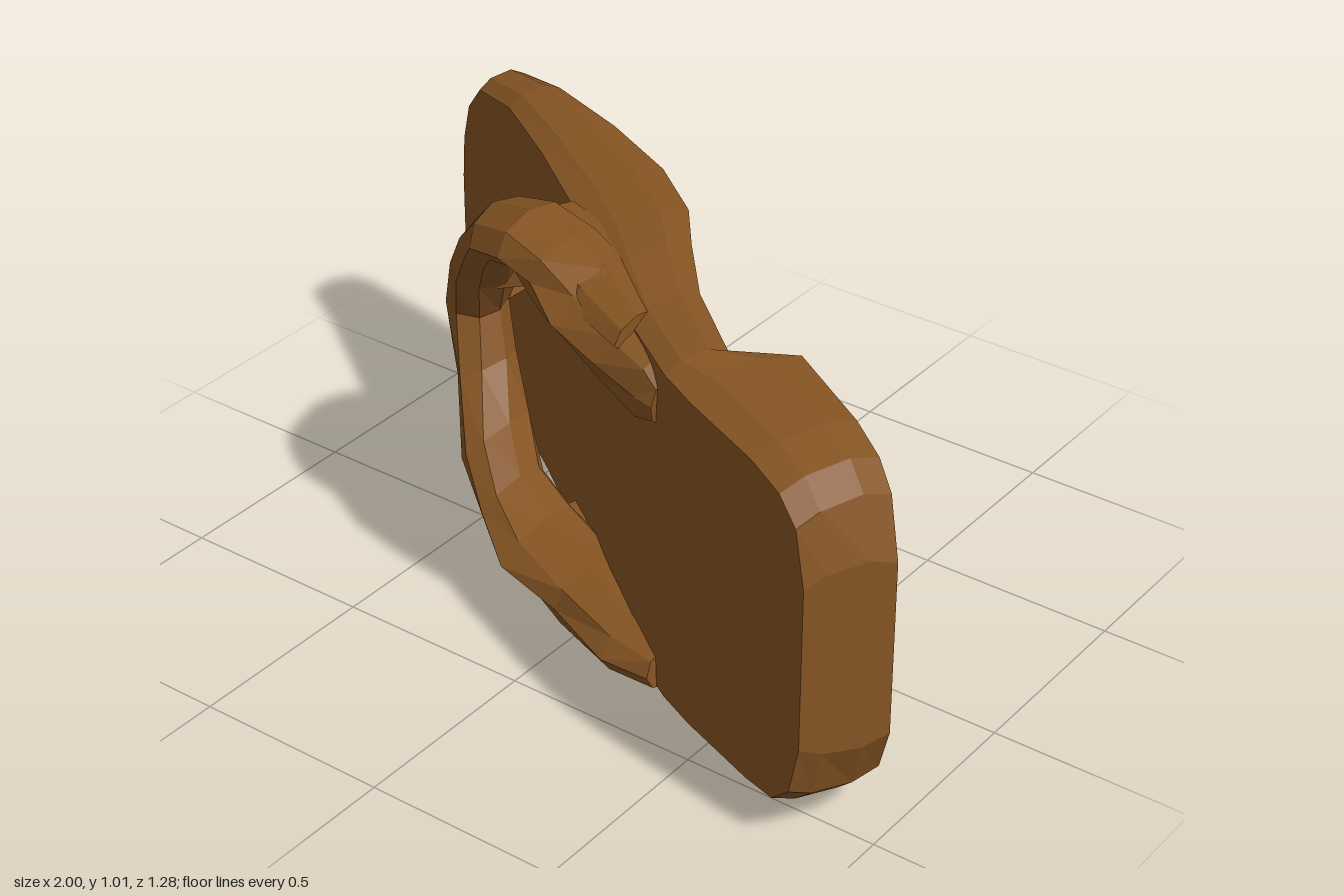
import * as THREE from 'three';

const brown = new THREE.MeshStandardMaterial({ color: 0x855423 });
brown.name = 'aged bronze brown';

// Small repeatable wobble for the worn surface
const wobble = (i, j) => Math.sin(i * 12.9 + j * 78.2) * Math.cos(i * 4.1 - j * 7.7);

// Skin a list of closed loops of points, with a cap on each end
function loft(name, loops) {
  const pos = [];
  const tri = (...pts) => pts.forEach((p) => pos.push(p.x, p.y, p.z));
  const n = loops[0].length;
  for (let i = 0; i < loops.length - 1; i++) {
    for (let j = 0; j < n; j++) {
      const k = (j + 1) % n;
      tri(loops[i][j], loops[i + 1][j], loops[i + 1][k]);
      tri(loops[i][j], loops[i + 1][k], loops[i][k]);
    }
  }
  const first = loops[0], last = loops[loops.length - 1];
  const middle = (l) => l.reduce((s, p) => s.add(p), new THREE.Vector3()).divideScalar(n);
  const a = middle(first), b = middle(last);
  for (let j = 0; j < n; j++) {
    const k = (j + 1) % n;
    tri(a, first[j], first[k]);
    tri(b, last[k], last[j]);
  }
  const g = new THREE.BufferGeometry();
  g.setAttribute('position', new THREE.Float32BufferAttribute(pos, 3));
  g.computeVertexNormals();
  const mesh = new THREE.Mesh(g, brown);
  mesh.name = name;
  return mesh;
}

// Faceted bar along a path; rows are [x, y, z, radius across, radius in z]
function bar(name, rows, rough, sides = 8) {
  const pts = rows.map((r) => new THREE.Vector3(r[0], r[1], r[2]));
  const u = new THREE.Vector3(0, 0, 1);
  const loops = pts.map((p, i) => {
    const t = pts[Math.min(i + 1, pts.length - 1)].clone().sub(pts[Math.max(i - 1, 0)]);
    const v = u.clone().cross(t).normalize();
    return Array.from({ length: sides }, (_, j) => {
      const angle = (j / sides) * Math.PI * 2, k = 1 + rough * wobble(i, j);
      return p.clone()
        .addScaledVector(u, Math.cos(angle) * rows[i][4] * k)
        .addScaledVector(v, Math.sin(angle) * rows[i][3] * k);
    });
  });
  return loft(name, loops);
}

// Thin five-sided link between two points
function strut(from, to, r0, r1) {
  const a = new THREE.Vector3(...from), b = new THREE.Vector3(...to);
  const dir = b.clone().sub(a);
  const g = new THREE.CylinderGeometry(r1, r0, dir.length(), 5).toNonIndexed();
  g.computeVertexNormals();
  const mesh = new THREE.Mesh(g, brown);
  mesh.name = 'strut';
  mesh.position.copy(a).add(b).multiplyScalar(0.5);
  mesh.quaternion.setFromUnitVectors(new THREE.Vector3(0, 1, 0), dir.normalize());
  return mesh;
}

export function createModel() {
  const model = new THREE.Group();
  model.name = 'buckle';

  // Bent plate: back x, back z, front x, front z, bottom y, top y
  const stations = [
    [-0.95, -0.64, -1.0, -0.55, 0.24, 0.62],
    [-0.925, -0.64, -0.985, -0.54, 0.13, 0.74],
    [-0.89, -0.62, -0.945, -0.515, 0.065, 0.85],
    [-0.82, -0.59, -0.87, -0.47, 0.035, 0.935],
    [-0.65, -0.52, -0.70, -0.38, 0.015, 0.97],
    [-0.40, -0.417, -0.47, -0.22, 0.01, 0.98],
    [-0.17, -0.305, -0.27, -0.07, 0.005, 0.98],
    [0.0, -0.175, -0.10, 0.06, 0.005, 0.98],
    [0.10, -0.05, 0.03, 0.17, 0.01, 0.975],
    [0.24, 0.11, 0.17, 0.28, 0.02, 0.965],
    [0.43, 0.265, 0.36, 0.405, 0.03, 0.955],
    [0.56, 0.175, 0.47, 0.46, 0.035, 0.95],
    [0.80, 0.32, 0.70, 0.56, 0.05, 0.945],
    [0.90, 0.385, 0.80, 0.605, 0.07, 0.925],
    [0.955, 0.42, 0.86, 0.63, 0.13, 0.875],
    [1.0, 0.455, 0.89, 0.64, 0.26, 0.74],
  ];
  model.add(loft('plate', stations.map(([bx, bz, fx, fz, y0, y1]) => {
    // t runs from the back (0) to the front (1) of the slab
    const at = (t, y) => new THREE.Vector3(bx + (fx - bx) * t, y, bz + (fz - bz) * t);
    const c = 0.035, h = y1 - y0;
    return [
      at(1, y0 + c), at(1, y0 + h * 0.35), at(1, y0 + h * 0.65), at(1, y1 - c),
      at(0.75, y1 - 0.01), at(0.3, y1), at(0, y1 - 0.02),
      at(0, y0 + h * 0.65), at(0, y0 + h * 0.35),
      at(0, y0 + 0.02), at(0.3, y0), at(0.75, y0 + 0.01),
    ];
  })));

  // Open loop standing off the front, its two arms running into the plate
  model.add(bar('loop', [
    [0.32, 0.82, 0.36, 0.06, 0.04],
    [0.27, 0.825, 0.33, 0.09, 0.065],
    [0.14, 0.86, 0.26, 0.085, 0.12],
    [0.00, 0.89, 0.19, 0.08, 0.14],
    [-0.11, 0.93, 0.15, 0.075, 0.14],
    [-0.22, 0.95, 0.13, 0.07, 0.13],
    [-0.36, 0.90, 0.06, 0.065, 0.12],
    [-0.46, 0.80, -0.02, 0.065, 0.12],
    [-0.55, 0.67, -0.09, 0.07, 0.11],
    [-0.625, 0.52, -0.15, 0.075, 0.085],
    [-0.58, 0.37, -0.12, 0.07, 0.10],
    [-0.48, 0.24, -0.03, 0.065, 0.12],
    [-0.36, 0.16, 0.06, 0.065, 0.12],
    [-0.22, 0.115, 0.12, 0.065, 0.14],
    [-0.02, 0.095, 0.19, 0.065, 0.14],
    [0.18, 0.09, 0.29, 0.065, 0.12],
    [0.32, 0.10, 0.36, 0.05, 0.05],
  ], 0.12));

  // Webs closing the gap between each arm and the plate
  const webs = new THREE.Group();
  webs.name = 'armWebs';
  for (const y of [0.92, 0.085]) {
    webs.add(bar('web', [
      [-0.25, y, 0.02, 0.05, 0.11],
      [-0.12, y, 0.08, 0.05, 0.13],
      [0.02, y, 0.17, 0.05, 0.13],
      [0.20, y, 0.29, 0.04, 0.08],
    ], 0.05));
  }
  model.add(webs);

  // Thin struts bridging the gap between loop and plate
  const struts = new THREE.Group();
  struts.name = 'struts';
  struts.add(
    strut([-0.61, 0.53, -0.38], [-0.63, 0.53, -0.15], 0.05, 0.06),
    strut([-0.42, 0.65, -0.22], [-0.54, 0.67, -0.09], 0.04, 0.06),
  );
  model.add(struts);

  // Rough swelling in the groove across the back
  model.add(bar('grooveSwelling', [
    [0.40, 0.18, 0.25, 0.05, 0.04],
    [0.36, 0.25, 0.22, 0.09, 0.075],
    [0.37, 0.36, 0.19, 0.09, 0.08],
    [0.36, 0.46, 0.22, 0.10, 0.07],
    [0.38, 0.56, 0.22, 0.10, 0.07],
    [0.36, 0.65, 0.20, 0.10, 0.075],
    [0.39, 0.75, 0.19, 0.09, 0.08],
    [0.39, 0.83, 0.25, 0.05, 0.05],
  ], 0.2, 7));

  return model;
}
